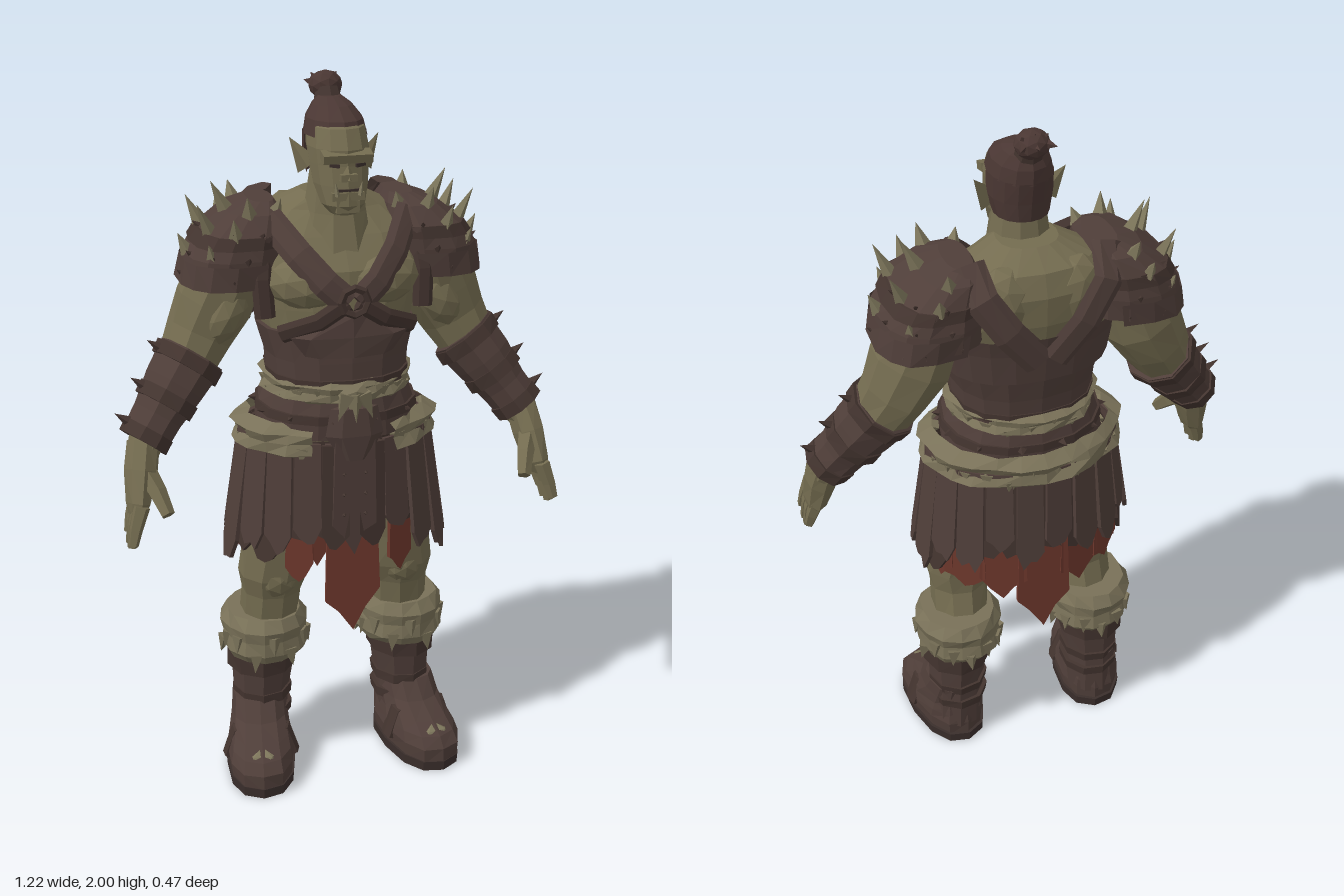
import * as THREE from 'three';
import { mergeGeometries } from 'three/addons/utils/BufferGeometryUtils.js';

const PI = Math.PI;
const mat = (name, color, side = THREE.FrontSide) => Object.assign(new THREE.MeshStandardMaterial({ color, side }), { name });

let seed = 7;
const rnd = () => (seed = (seed * 16807) % 2147483647) / 2147483647;

// Faceted normals: unshared vertices, one normal per face
function facet(g) {
  const f = g.index ? g.toNonIndexed() : g;
  f.deleteAttribute('uv');
  f.computeVertexNormals();
  return f;
}
const join = list => mergeGeometries(list);

// Skin over elliptical rings [x, y, z, rx, rz]; level rings, or rings that follow the path
function loft(rings, { n = 10, follow = false, a0 = 0, a1 = 2 * PI, e = 1, jit = 0 } = {}) {
  const closed = a1 - a0 > 6.28, pos = [], idx = [], Z = new THREE.Vector3(0, 0, 1);
  const c = rings.map(r => new THREE.Vector3(r[0], r[1], r[2]));
  const pw = v => Math.sign(v) * Math.abs(v) ** e;
  rings.forEach((r, i) => {
    let d = new THREE.Vector3(0, Math.sign(c[c.length - 1].y - c[0].y), 0);
    if (follow) d = c[Math.min(i + 1, c.length - 1)].clone().sub(c[Math.max(i - 1, 0)]).normalize();
    const u = d.clone().cross(Z).normalize(), v = u.clone().cross(d);
    const js = Array.from({ length: n + 1 }, () => 1 + (rnd() - 0.5) * jit);
    if (closed) js[n] = js[0];
    for (let j = 0; j <= n; j++) {
      const a = a0 + (a1 - a0) * j / n;
      const p = c[i].clone().addScaledVector(u, pw(Math.cos(a)) * r[3] * js[j]).addScaledVector(v, pw(Math.sin(a)) * r[4] * js[j]);
      pos.push(p.x, p.y, p.z);
    }
  });
  const w = n + 1, last = (rings.length - 1) * w;
  for (let i = 0; i < rings.length - 1; i++) for (let j = 0; j < n; j++) {
    const a = i * w + j, b = a + w;
    idx.push(a, b, a + 1, a + 1, b, b + 1);
  }
  if (closed) {
    const k = pos.length / 3;
    pos.push(...c[0].toArray(), ...c[c.length - 1].toArray());
    for (let j = 0; j < n; j++) idx.push(k, j, j + 1, k + 1, last + j + 1, last + j);
  }
  const g = new THREE.BufferGeometry();
  g.setAttribute('position', new THREE.Float32BufferAttribute(pos, 3));
  g.setIndex(idx);
  return facet(g);
}

const place = (g, p, r = [0, 0, 0], s = [1, 1, 1]) => facet(g.applyMatrix4(new THREE.Matrix4().compose(
  new THREE.Vector3(...p), new THREE.Quaternion().setFromEuler(new THREE.Euler(...r, 'YXZ')), new THREE.Vector3(...s))));
const box = (w, h, d, p, r) => place(new THREE.BoxGeometry(w, h, d), p, r);
const blob = (p, r, s, detail = 1) => place(new THREE.IcosahedronGeometry(1, detail), p, r, s);

function spike(p, dir, len, r, n = 4) {
  const g = new THREE.ConeGeometry(r, len, n).translate(0, len / 2, 0);
  g.applyQuaternion(new THREE.Quaternion().setFromUnitVectors(new THREE.Vector3(0, 1, 0), new THREE.Vector3(...dir).normalize()));
  return facet(g.translate(...p));
}

// Shaggy roll of fur with short tufts hanging from it
function fur(x, y0, y1, z, rx, rz, a0 = 0, a1 = 2 * PI, n = 20) {
  const h = y1 - y0, list = [loft([[x, y0, z, rx * 0.88, rz * 0.88], [x, y0 + h * 0.2, z, rx, rz], [x, y0 + h * 0.5, z, rx * 0.96, rz * 0.96],
    [x, y0 + h * 0.75, z, rx, rz], [x, y1, z, rx * 0.86, rz * 0.86]], { n, a0, a1, jit: 0.09 })];
  for (let i = 0; i < n; i++) {
    const a = a0 + (a1 - a0) * (i + 0.5) / n, k = 0.9, t = y0 + h * (0.2 + rnd() * 0.45);
    list.push(spike([x + Math.cos(a) * rx * k, t, z + Math.sin(a) * rz * k], [Math.cos(a) * 0.3, -1, Math.sin(a) * 0.3], h * 0.4, 0.024));
  }
  return join(list);
}

// Ragged hanging strip; th = 0 faces front
function strip(th, y, len, w, rx, rz, tilt, point = 0) {
  const s = new THREE.Shape();
  s.moveTo(-w / 2, 0);
  [[-0.56, 0.86], [-0.3, 0.97 - point * 0.1], [0, 0.93 + point * 0.07], [0.25, 0.98 - point * 0.12], [0.56, 0.84]].forEach(([a, b]) =>
    s.lineTo(a * w, -len * (b - point * Math.abs(a) * 0.35 + (rnd() - 0.5) * 0.09)));
  s.lineTo(w / 2, 0);
  const g = new THREE.ExtrudeGeometry(s, { depth: 0.012, bevelEnabled: false });
  return place(g, [rx * Math.sin(th), y, -0.01 + rz * Math.cos(th)], [-tilt, Math.atan2(Math.sin(th) / rx, Math.cos(th) / rz), 0]);
}

export function createModel() {
  const root = new THREE.Group();
  root.name = 'warrior';
  const skin = mat('skin', 0x746c50), furM = mat('fur', 0x797158, THREE.DoubleSide), leather = mat('leather', 0x4f3e39, THREE.DoubleSide);
  const dark = mat('darkLeather', 0x43342f, THREE.DoubleSide), hair = mat('hair', 0x4a3733, THREE.DoubleSide);
  const cloth = mat('redCloth', 0x6d372c, THREE.DoubleSide), bone = mat('bone', 0x7d765b), sole = mat('sole', 0x3a2e2b);
  const add = (name, g, m) => {
    const mesh = new THREE.Mesh(g, m);
    mesh.name = name;
    root.add(mesh);
  };
  // Left part plus its mirror image, with triangle order restored
  const pair = (name, g, m) => {
    add('left' + name, g, m);
    const f = g.clone().scale(-1, 1, 1), p = f.attributes.position;
    for (let i = 0; i < p.count; i += 3) for (const k of ['X', 'Y', 'Z']) {
      const t = p['get' + k](i + 1);
      p['set' + k](i + 1, p['get' + k](i + 2));
      p['set' + k](i + 2, t);
    }
    f.computeVertexNormals();
    add('right' + name, f, m);
  };

  // Torso, chest and neck
  add('torso', loft([[0, 0.95, -0.01, 0.2, 0.15], [0, 1.1, 0, 0.195, 0.165], [0, 1.22, 0, 0.175, 0.165], [0, 1.32, -0.01, 0.195, 0.17], [0, 1.42, -0.02, 0.22, 0.175],
    [0, 1.52, -0.035, 0.25, 0.178], [0, 1.6, -0.065, 0.24, 0.15], [0, 1.66, -0.08, 0.16, 0.115], [0, 1.7, -0.055, 0.08, 0.075]], { n: 16, e: 0.85 }), skin);
  pair('Pectoral', blob([0.1, 1.485, 0.085], [0.15, 0.25, 0.1], [0.11, 0.075, 0.085]), skin);
  pair('ShoulderBlade', blob([0.085, 1.58, -0.155], [0, 0, -0.3], [0.08, 0.1, 0.06]), skin);
  add('neck', loft([[0, 1.56, -0.01, 0.11, 0.13], [0, 1.66, 0, 0.085, 0.09], [0, 1.78, 0, 0.066, 0.075]], { follow: true }), skin);

  // Leather bodice, straps and ring
  add('bodice', loft([[0, 1.19, 0, 0.188, 0.177], [0, 1.28, -0.005, 0.196, 0.18], [0, 1.36, -0.015, 0.218, 0.184]], { n: 16, e: 0.85 }), leather);
  add('bodiceSeam', loft([[0, 1.21, 0, 0.194, 0.184], [0, 1.235, 0, 0.196, 0.184]], { n: 16, e: 0.85 }), dark);
  add('bodicePeak', loft([[0, 1.3, 0.145, 0.12, 0.045], [0, 1.355, 0.145, 0.16, 0.045], [0, 1.41, 0.145, 0.06, 0.04]], { n: 8 }), leather);
  add('backPlate', loft([[0, 1.35, -0.02, 0.226, 0.184], [0, 1.44, -0.025, 0.24, 0.188], [0, 1.49, -0.035, 0.25, 0.188]], { n: 10, e: 0.85, a0: 1.05 * PI, a1: 1.95 * PI }), leather);
  const band = (pts, w) => loft(pts.map(p => [...p, w, 0.014]), { n: 6, follow: true });
  pair('ChestStrap', band([[0.19, 1.65, 0.04], [0.13, 1.57, 0.13], [0.07, 1.5, 0.175], [0.015, 1.45, 0.185]], 0.038), leather);
  pair('LowerStrap', band([[0.015, 1.45, 0.185], [0.09, 1.4, 0.175], [0.18, 1.36, 0.125]], 0.026), dark);
  pair('SideStrap', band([[0.21, 1.6, 0.06], [0.22, 1.5, 0.09], [0.215, 1.4, 0.1]], 0.028), dark);
  pair('BackStrap', band([[0.18, 1.69, -0.14], [0.165, 1.62, -0.205], [0.1, 1.52, -0.222], [0.02, 1.42, -0.214]], 0.042), leather);
  add('chestRing', place(new THREE.TorusGeometry(0.036, 0.011, 5, 8), [0, 1.455, 0.195]), dark);

  // Head and face
  add('head', loft([[0, 1.665, 0.085, 0.035, 0.04], [0, 1.69, 0.075, 0.058, 0.064], [0, 1.74, 0.05, 0.072, 0.084], [0, 1.79, 0.035, 0.077, 0.093],
    [0, 1.83, 0.02, 0.08, 0.108], [0, 1.88, 0.005, 0.073, 0.1], [0, 1.9, -0.005, 0.05, 0.07]], { n: 12, e: 0.95 }), skin);
  add('brow', box(0.13, 0.022, 0.04, [0, 1.815, 0.115], [0.25, 0, 0]), skin);
  add('nose', join([spike([0, 1.755, 0.125], [0, 1, -0.15], 0.06, 0.024), box(0.044, 0.018, 0.025, [0, 1.764, 0.131])]), skin);
  add('jaw', join([box(0.085, 0.02, 0.035, [0, 1.715, 0.118]), box(0.06, 0.032, 0.04, [0, 1.688, 0.112])]), skin);
  add('mouth', box(0.07, 0.006, 0.008, [0, 1.731, 0.131]), sole);
  pair('Eye', box(0.026, 0.009, 0.008, [0.034, 1.794, 0.124], [0, 0.3, 0.12]), sole);
  pair('Tusk', spike([0.03, 1.718, 0.133], [0.15, 1, 0.1], 0.038, 0.009), bone);
  pair('Ear', place(new THREE.ConeGeometry(0.034, 0.09, 4), [0.097, 1.81, 0], [0, 0.4, -0.6], [1, 1, 0.4]), skin);

  // Hair and topknot
  add('hair', loft([[0, 1.855, 0, 0.083, 0.108], [0, 1.895, -0.008, 0.074, 0.1], [0, 1.925, -0.03, 0.052, 0.068], [0, 1.942, -0.055, 0.03, 0.035]], { n: 12 }), hair);
  add('backHair', loft([[0, 1.75, -0.015, 0.072, 0.075], [0, 1.8, 0, 0.084, 0.097], [0, 1.86, 0, 0.084, 0.108]], { n: 8, a0: 0.98 * PI, a1: 2.02 * PI }), hair);
  add('topknotBand', place(new THREE.CylinderGeometry(0.032, 0.038, 0.03, 8), [0, 1.94, -0.075], [-0.4, 0, 0]), dark);
  add('topknot', join([blob([0, 1.962, -0.095], [0, 0, 0], [0.046, 0.038, 0.042]),
    ...[-1, 0, 1].flatMap(i => [spike([i * 0.02, 1.965, -0.1], [i * 0.6, 0.1, -1], 0.052, 0.02), spike([i * 0.018, 1.965, -0.1], [i * 0.6, 1, -0.5], 0.035, 0.022)])]), hair);

  // Spiked shoulder guards
  const pad = [[0.27, 1.49, -0.06, 0.14, 0.16], [0.262, 1.55, -0.06, 0.134, 0.162], [0.245, 1.61, -0.06, 0.112, 0.155], [0.215, 1.66, -0.065, 0.075, 0.125], [0.19, 1.685, -0.07, 0.035, 0.075]];
  pair('ShoulderGuard', loft(pad, { n: 14, e: 0.75, jit: 0.04 }), leather);
  pair('ShoulderRim', loft([[0.275, 1.475, -0.06, 0.142, 0.164], [0.266, 1.54, -0.06, 0.14, 0.166]], { n: 9, e: 0.75, a0: -0.62 * PI, a1: 0.62 * PI, jit: 0.04 }), leather);
  pair('ShoulderBand', loft([[0.257, 1.58, -0.06, 0.126, 0.161], [0.246, 1.612, -0.06, 0.115, 0.157]], { n: 14, e: 0.75, jit: 0.02 }), dark);
  const horns = [[3, 0.1, 0.085], [3, 1.2, 0.06], [3, -1.2, 0.05], [2, 0.5, 0.095], [2, -0.4, 0.085], [2, 1.2, 0.065], [2, -1.3, 0.05], [1, 0.05, 0.06], [1, 0.9, 0.055], [1, -0.9, 0.045], [3, 2.3, 0.045]];
  const onPad = ([i, a, len], r, lift) => {
    const [x, y, z, rx, rz] = pad[i];
    return spike([x + Math.cos(a) * rx * 0.93, y, z + Math.sin(a) * rz * 0.95], [Math.cos(a) * 0.5, lift, Math.sin(a) * 0.5], len, r);
  };
  pair('ShoulderSpikes', join(horns.map(h => onPad(h, 0.021, 1))), bone);
  pair('ShoulderStuds', join(Array.from({ length: 18 }, (_, i) => onPad([i % 3, -1.9 + i * 0.22, 0.026], 0.011, 0.4))), dark);

  // Arms, bracers and hands
  pair('Arm', loft([[0.23, 1.57, -0.06, 0.08, 0.1], [0.285, 1.48, -0.065, 0.1, 0.112], [0.318, 1.4, -0.07, 0.108, 0.11], [0.36, 1.32, -0.068, 0.092, 0.095],
    [0.41, 1.23, -0.045, 0.08, 0.085], [0.53, 1.06, 0.025, 0.05, 0.055], [0.55, 1.02, 0.04, 0.042, 0.048]], { n: 9, follow: true, jit: 0.06 }), skin);
  pair('Biceps', blob([0.3, 1.39, -0.02], [0, 0, 0.5], [0.06, 0.1, 0.07]), skin);
  const at = (t, k) => [0.385 + 0.155 * t, 1.265 - 0.21 * t, -0.05 + 0.075 * t, (0.096 - 0.03 * t) * k, (0.098 - 0.027 * t) * k];
  pair('Bracer', loft([at(0, 1), at(0.35, 1.02), at(0.7, 0.95), at(1, 1)], { n: 9, follow: true, jit: 0.06 }), leather);
  pair('BracerBands', join([0.02, 0.45, 0.86].map(t => loft([at(t, 1.06), at(t + 0.14, 1.08)], { n: 9, follow: true, jit: 0.07 }))), dark);
  pair('BracerSpikes', join([0.12, 0.52, 0.9].map(t => {
    const [x, y, z, r] = at(t, 1);
    return spike([x + r * 0.75, y + r * 0.6, z], [0.8, 0.55, -0.1], 0.042, 0.015);
  })), dark);
  pair('Palm', loft([[0.54, 1.06, 0.03, 0.045, 0.05], [0.555, 0.99, 0.06, 0.046, 0.06], [0.57, 0.91, 0.09, 0.034, 0.064], [0.578, 0.88, 0.095, 0.022, 0.05]], { n: 8, follow: true }), skin);
  const finger = (pts, r) => loft(pts.map((p, i) => [...p, r * (1 - i * 0.2), r * (1 - i * 0.2)]), { n: 5, follow: true });
  pair('Fingers', join([0, 1, 2, 3].map(i => {
    const z = 0.05 + i * 0.031, d = i === 0 || i === 3 ? 0.02 : 0;
    return finger([[0.568, 0.92, z], [0.588, 0.86, z + 0.012], [0.598, 0.8 + d, z + 0.022]], 0.023);
  })), skin);
  pair('Thumb', finger([[0.55, 1, 0.075], [0.522, 0.95, 0.125], [0.503, 0.9, 0.17]], 0.032), skin);

  // Belt, buckle and fur
  add('belt', loft([[0, 1.07, 0, 0.225, 0.19], [0, 1.13, 0, 0.218, 0.192], [0, 1.18, 0, 0.2, 0.182]], { n: 16, e: 0.9, jit: 0.02 }), leather);
  add('beltTrim', loft([[0, 1.115, 0, 0.226, 0.196], [0, 1.14, 0, 0.222, 0.196]], { n: 16, e: 0.9 }), dark);
  add('beltStuds', join(Array.from({ length: 12 }, (_, i) => {
    const a = (i + 0.5) * PI / 6;
    return spike([0.218 * Math.cos(a), 1.128, 0.192 * Math.sin(a)], [Math.cos(a), 0, Math.sin(a)], 0.025, 0.014);
  })), dark);
  add('waistFur', fur(0, 1.165, 1.235, 0, 0.208, 0.2), furM);
  add('waistFurKnot', join([...[-1, 0, 1].map(i => spike([i * 0.022, 1.205, 0.2], [i * 0.35, -1, 0.12], 0.11 - Math.abs(i) * 0.03, 0.026)),
    blob([0, 1.2, 0.19], [0, 0, 0], [0.05, 0.03, 0.03], 0)]), furM);
  add('hipFur', fur(0, 1.01, 1.11, -0.01, 0.285, 0.216, PI / 2 + 0.42, 2.5 * PI - 0.42, 22), furM);
  add('buckle', loft([[0, 1.02, 0.2, 0.035, 0.02], [0, 1.09, 0.2, 0.08, 0.024], [0, 1.165, 0.195, 0.065, 0.02]], { n: 6 }), leather);

  // Skirt of uneven leather strips over red cloth
  add('skirtLining', loft([[0, 1.06, -0.01, 0.235, 0.18], [0, 0.82, -0.01, 0.262, 0.175]], { n: 16, a1: 6.27 }), dark);
  const N = 20, outer = [], under = [];
  const hem = th => Math.cos(th) < -0.35 ? 0.755 : Math.abs(Math.sin(th)) < 0.62 ? 0.79 : 0.69;
  for (let i = 0; i < N; i++) {
    const th = (i + 0.5) / N * 2 * PI, tilt = 0.02 + 0.11 * Math.abs(Math.sin(th));
    outer.push(strip(th, 1.06, 1.06 - hem(th) + (rnd() - 0.6) * 0.09, 0.07, 0.258, 0.19, tilt + rnd() * 0.03, rnd() * 0.3));
    under.push(strip(th + 0.16, 1.05, 1.05 - hem(th + 0.16) + (rnd() - 0.5) * 0.05, 0.085, 0.247, 0.18, tilt, 0.2));
  }
  add('skirtStrips', join(outer), leather);
  add('skirtUnderStrips', join(under), dark);
  add('frontFlap', strip(0, 1.08, 0.34, 0.11, 0.25, 0.208, -0.01, 0.7), leather);
  pair('FlapSide', strip(0.2, 1.06, 0.32, 0.07, 0.25, 0.2, 0.02, 0.3), dark);
  add('flapStuds', join([0.86, 0.92, 0.98].flatMap(y => [-0.03, 0.03].map(x => spike([x, y, 0.2], [0, 0, 1], 0.02, 0.01)))), dark);
  const reds = [[0, 0.38, 0.14, 1], [0.55, 0.21, 0.07, 0.4], [-0.55, 0.21, 0.07, 0.4], [PI, 0.37, 0.14, 1]];
  for (const s of [-1, 1]) reds.push([PI + s * 0.42, 0.24, 0.12, 0.7], [PI + s * 0.85, 0.22, 0.11, 0.6], [PI + s * 1.2, 0.2, 0.08, 0.6]);
  add('redCloth', join(reds.map(([th, len, w, p]) => strip(th, 0.86, len, w, 0.268, 0.184, 0.03, p))), cloth);

  // Legs
  pair('Leg', loft([[0.11, 1, 0, 0.11, 0.13], [0.145, 0.85, 0, 0.115, 0.125], [0.17, 0.72, 0.01, 0.104, 0.108], [0.185, 0.62, 0.01, 0.102, 0.092],
    [0.188, 0.56, 0, 0.086, 0.085], [0.195, 0.42, -0.03, 0.085, 0.095]], { n: 9, jit: 0.08 }), skin);
  pair('Knee', blob([0.185, 0.62, 0.05], [0, 0, 0], [0.065, 0.07, 0.055]), skin);

  // Fur-topped boots
  pair('BootFur', fur(0.205, 0.355, 0.49, -0.035, 0.126, 0.136, 0, 2 * PI, 14), furM);
  pair('BootShaft', loft([[0.22, 0.06, -0.04, 0.08, 0.09], [0.218, 0.2, -0.04, 0.08, 0.09], [0.213, 0.3, -0.038, 0.09, 0.1], [0.21, 0.4, -0.035, 0.105, 0.11]], { n: 9, jit: 0.03 }), leather);
  pair('BootBands', join([[0.3, 0.06, 0.1], [0.2, 0.03, 0.087], [0.14, 0.03, 0.087]].map(([y, h, r]) =>
    loft([[0.215, y, -0.04, r, r + 0.008], [0.215, y + h, -0.04, r * 1.03, r * 1.03 + 0.008]], { n: 9, jit: 0.04 }))), dark);
  const turn = g => place(g, [0.232, 0, 0], [0, 0.17, 0]);
  pair('Foot', turn(loft([[0, 0.02, 0.05, 0.095, 0.18], [0, 0.07, 0.05, 0.1, 0.182], [0, 0.1, 0.04, 0.094, 0.168], [0, 0.125, 0.02, 0.088, 0.14], [0, 0.16, -0.01, 0.082, 0.105],
    [0, 0.21, -0.037, 0.078, 0.088]], { n: 12, e: 0.85, jit: 0.03 })), leather);
  pair('Sole', turn(loft([[0, 0, 0.048, 0.1, 0.184], [0, 0.03, 0.048, 0.102, 0.186]], { n: 12, e: 0.85 })), sole);
  pair('InstepStrap', turn(loft([[-0.1, 0.05, 0.06, 0.03, 0.014], [-0.07, 0.13, 0.06, 0.03, 0.02], [0, 0.15, 0.06, 0.03, 0.024], [0.07, 0.13, 0.06, 0.03, 0.02], [0.1, 0.05, 0.06, 0.03, 0.014]]
    .map(([x, y, z, a, b]) => [x, y, z, b, a]), { n: 6, follow: true })), dark);
  pair('ToePatch', turn(blob([0, 0.095, 0.175], [0.7, 0, 0], [0.05, 0.022, 0.04], 0)), bone);
  return root;
}
